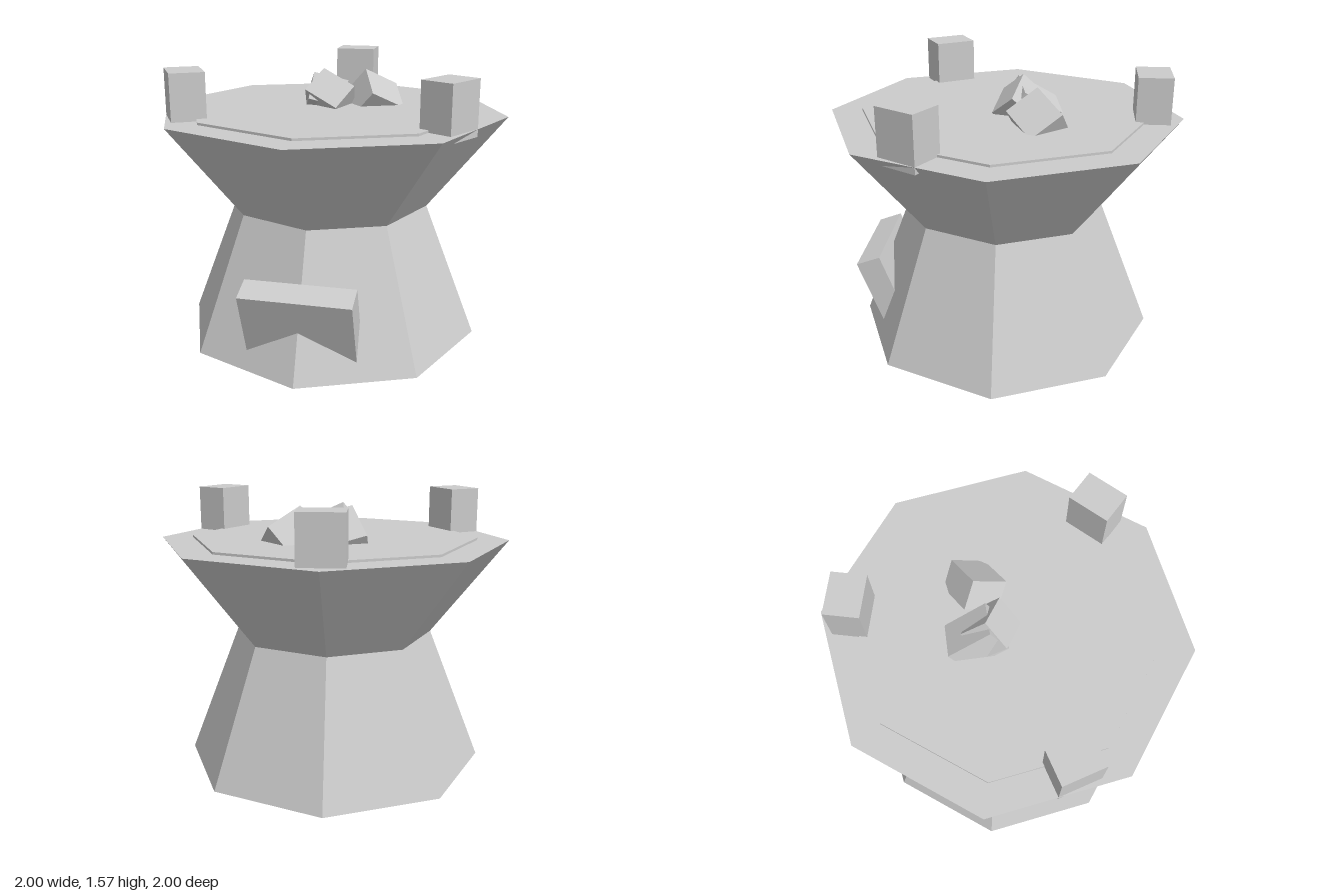
import * as THREE from 'three';

export function createModel() {
  const group = new THREE.Group();
  const solid = new THREE.MeshStandardMaterial({ color: 0xcccccc, flatShading: true });
  const open = new THREE.MeshStandardMaterial({ color: 0xcccccc, flatShading: true, side: THREE.DoubleSide });

  function add(name, geometry, x, y, z, material = solid) {
    const mesh = new THREE.Mesh(geometry, material);
    mesh.name = name;
    mesh.position.set(x, y, z);
    group.add(mesh);
    return mesh;
  }

  // Eight-sided tower: hollow flared base, wide head, thin floor slab
  add('base', new THREE.CylinderGeometry(0.57, 0.87, 0.77, 8, 1, true), 0, 0.385, 0, open);
  add('head', new THREE.CylinderGeometry(1, 0.57, 0.54, 8), 0, 1.04, 0);
  add('floorSlab', new THREE.CylinderGeometry(0.82, 0.82, 0.02, 8), 0, 1.313, 0);

  // Tilted door block sunk into the front corner
  add('doorBlock', new THREE.BoxGeometry(0.61, 0.4, 0.144), 0, 0.307, 0.703)
    .rotation.x = THREE.MathUtils.degToRad(20.3);

  // Three battlements around the rim, the first at the back
  for (let i = 0; i < 3; i++) {
    const angle = Math.PI + (i * Math.PI * 2) / 3;
    add('battlement', new THREE.BoxGeometry(0.24, 0.3, 0.19),
      0.82 * Math.sin(angle), 1.42, 0.82 * Math.cos(angle)).rotation.y = angle;
  }

  // Rubble block: its outer face starts at a corner and spans two edges
  function rubble(corner, across, down, depth) {
    const x = new THREE.Vector3(...across);
    const d = new THREE.Vector3(...down);
    const width = x.length(), height = d.length();
    const n = d.clone().cross(x).normalize();
    x.normalize();
    const y = n.clone().cross(x);
    const centre = new THREE.Vector3(...corner)
      .addScaledVector(x, width / 2)
      .addScaledVector(y, -height / 2)
      .addScaledVector(n, -depth / 2);
    add('rubble', new THREE.BoxGeometry(width, height, depth), ...centre.toArray())
      .quaternion.setFromRotationMatrix(new THREE.Matrix4().makeBasis(x, y, n));
  }
  rubble([-0.06, 1.53, -0.10], [0.19, -0.09, 0.05], [-0.08, -0.11, 0.12], 0.18);
  rubble([0.17, 1.52, -0.19], [0.16, -0.10, -0.14], [0.065, -0.11, 0.17], 0.17);
  rubble([-0.11, 1.51, -0.07], [-0.09, -0.14, -0.21], [0.19, -0.05, -0.05], 0.17);

  return group;
}
